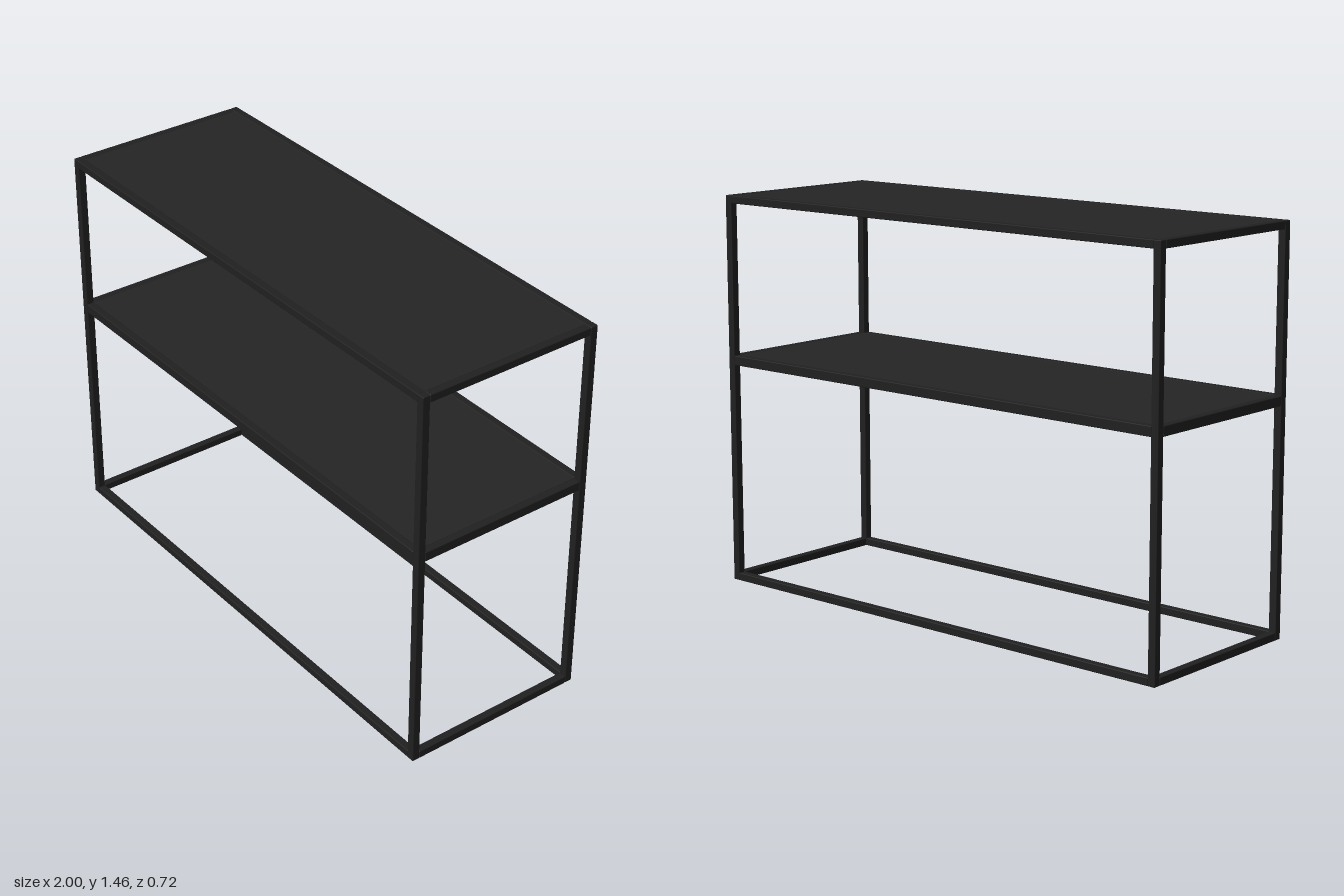
import * as THREE from 'three';
import { RoundedBoxGeometry } from 'three/addons/geometries/RoundedBoxGeometry.js';

const W = 2, H = 1.46, D = 0.718, T = 0.029;

export function createModel() {
  const group = new THREE.Group();
  const frameMat = new THREE.MeshStandardMaterial({ color: 0x202020 });
  const panelMat = new THREE.MeshStandardMaterial({ color: 0x252525 });

  // Square steel tube with slightly softened edges
  const bar = (name, w, h, d, x, y, z) => {
    const mesh = new THREE.Mesh(new RoundedBoxGeometry(w, h, d, 2, 0.003), frameMat);
    mesh.name = name;
    mesh.position.set(x, y, z);
    group.add(mesh);
  };
  const panel = (name, w, h, d, y) => {
    const mesh = new THREE.Mesh(new THREE.BoxGeometry(w, h, d), panelMat);
    mesh.name = name;
    mesh.position.y = y;
    group.add(mesh);
  };

  const px = (W - T) / 2, pz = (D - T) / 2;

  // Four corner posts
  for (const x of [-px, px])
    for (const z of [-pz, pz]) bar('post', T, H, T, x, H / 2, z);

  // Rail rings at the floor, the shelf and the top
  const levels = [
    ['base', T / 2, T],
    ['shelf', 0.846, 0.036],
    ['top', H - T / 2, T],
  ];
  for (const [name, y, h] of levels) {
    for (const s of [-1, 1]) {
      bar(name + 'LongRail', W - 2 * T, h, T, 0, y, s * pz);
      bar(name + 'ShortRail', T, h, D - 2 * T, s * px, y, 0);
    }
  }

  // Thin panels set into the shelf and top rings
  panel('shelfPanel', W - 2 * T, 0.012, D - 2 * T, 0.857);
  panel('topPanel', W - 2 * T, 0.012, D - 2 * T, H - 0.007);

  return group;
}
